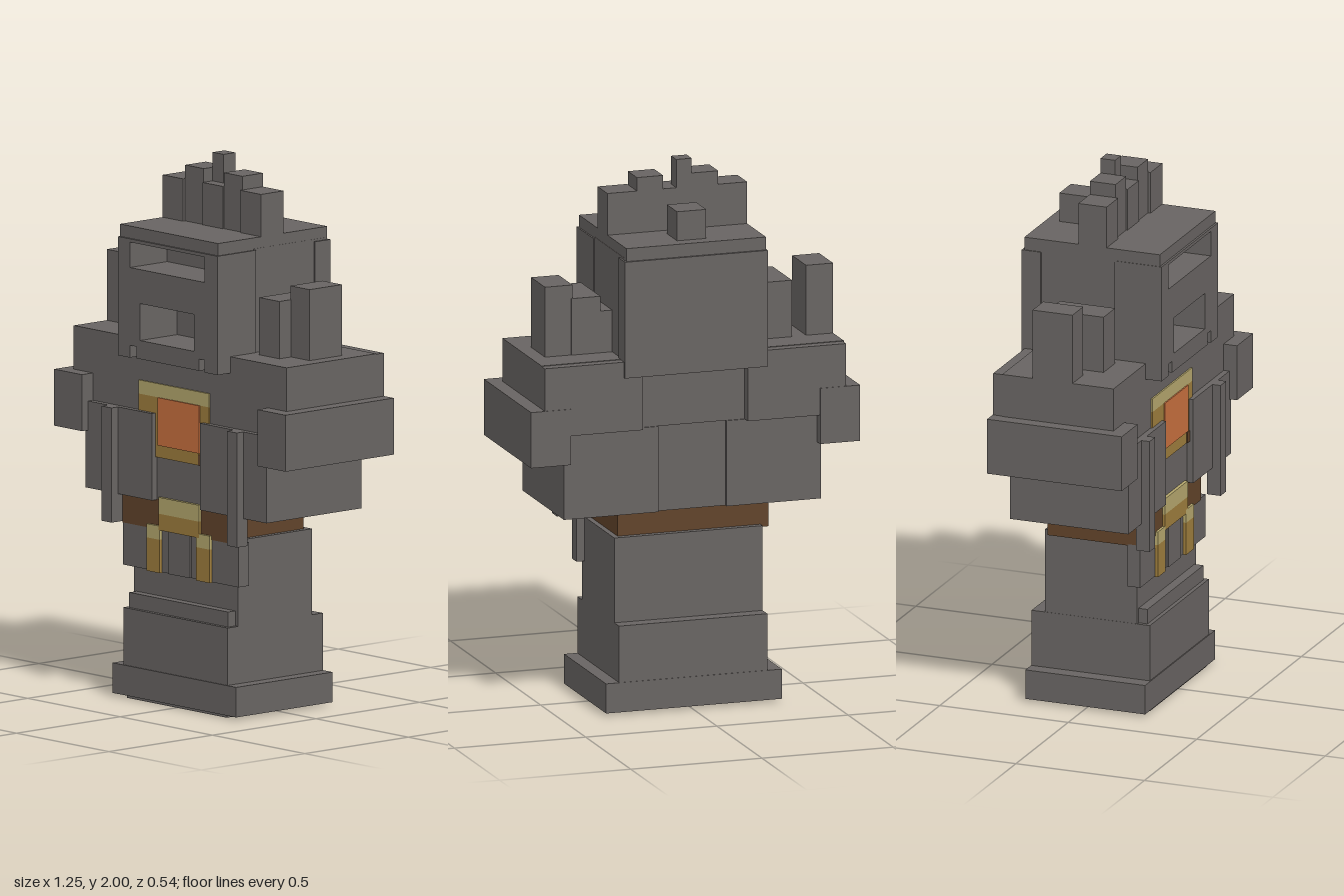
import * as THREE from 'three';

const material = (name, color) => {
  const m = new THREE.MeshStandardMaterial({ color });
  m.name = name;
  return m;
};

export function createModel() {
  const model = new THREE.Group();
  model.name = 'blockyFigure';
  const stone = material('stoneGrey', 0x686462);
  const paleGold = material('paleGold', 0xb5a76d);
  const gold = material('gold', 0x9e7d3d);
  const orange = material('orangeGem', 0xc8703f);
  const brown = material('beltBrown', 0x61432a);

  // Box from its minimum and maximum along each axis
  const box = (name, mat, [x0, x1], [y0, y1], [z0, z1]) => {
    const mesh = new THREE.Mesh(new THREE.BoxGeometry(x1 - x0, y1 - y0, z1 - z0), mat);
    mesh.position.set((x0 + x1) / 2, (y0 + y1) / 2, (z0 + z1) / 2);
    mesh.name = name;
    model.add(mesh);
  };
  // Mirrored pair of boxes
  const pair = (name, mat, [x0, x1], y, z) => {
    box(name + 'Left', mat, [x0, x1], y, z);
    box(name + 'Right', mat, [-x1, -x0], y, z);
  };

  // Base and legs
  box('sole', stone, [-0.27, 0.27], [0, 0.02], [-0.17, 0.225]);
  box('basePlinth', stone, [-0.34, 0.33], [0.01, 0.12], [-0.232, 0.234]);
  box('boots', stone, [-0.285, 0.28], [0.1, 0.33], [-0.23, 0.23]);
  box('bootCuff', stone, [-0.27, 0.265], [0.32, 0.385], [0.1, 0.215]);
  box('legs', stone, [-0.284, 0.28], [0.3, 0.645], [-0.178, 0.18]);

  // Skirt, belt and buckle
  box('skirtFront', stone, [-0.315, 0.31], [0.48, 0.64], [0.155, 0.205]);
  box('skirtTab', stone, [-0.06, 0.055], [0.48, 0.635], [0.15, 0.212]);
  box('belt', brown, [-0.315, 0.26], [0.635, 0.745], [-0.155, 0.208]);
  for (const x of [-0.175, 0.095]) {
    box('skirtTassel', gold, [x, x + 0.072], [0.478, 0.6], [0.15, 0.217]);
    box('tasselTop', paleGold, [x, x + 0.072], [0.6, 0.65], [0.15, 0.217]);
  }
  box('buckleLower', gold, [-0.11, 0.11], [0.635, 0.695], [0.18, 0.217]);
  box('buckleUpper', paleGold, [-0.11, 0.11], [0.695, 0.755], [0.18, 0.217]);

  // Torso, shoulders and arms
  box('torso', stone, [-0.3, 0.3], [0.742, 1.3], [-0.215, 0.205]);
  pair('lowerArm', stone, [0.13, 0.49], [0.742, 1.06], [-0.23, 0.23]);
  box('shoulders', stone, [-0.578, 0.574], [1.06, 1.32], [-0.225, 0.208]);
  pair('shoulderBack', stone, [0.2, 0.574], [1.06, 1.318], [-0.262, -0.2]);
  pair('shoulderPad', stone, [0.475, 0.627], [0.953, 1.16], [-0.264, 0.26]);
  pair('hangingStrap', stone, [0.313, 0.366], [0.64, 1.06], [0.21, 0.262]);

  // Shoulder spikes
  pair('collarBlock', stone, [0.25, 0.312], [1.3, 1.475], [-0.11, 0.045]);
  pair('innerSpike', stone, [0.31, 0.42], [1.3, 1.53], [-0.11, 0.105]);
  box('outerSpikeLeft', stone, [0.415, 0.52], [1.3, 1.58], [-0.107, 0.048]);
  box('outerSpikeRight', stone, [-0.578, -0.475], [1.3, 1.58], [-0.107, 0.048]);

  // Chest emblem, as thin layered plates
  box('emblemFrame', gold, [-0.22, 0.16], [0.9, 1.12], [0.206, 0.214]);
  box('emblemTop', paleGold, [-0.22, 0.16], [1.12, 1.17], [0.206, 0.214]);
  box('emblemGem', orange, [-0.112, 0.112], [0.945, 1.12], [0.212, 0.219]);
  box('emblemChip', brown, [0.105, 0.13], [0.9, 0.94], [0.212, 0.217]);

  // Head, with a face plate pierced by eye and mouth slots
  box('headCore', stone, [-0.265, 0.265], [1.28, 1.7], [-0.25, 0.09]);
  box('headBack', stone, [-0.272, 0.272], [1.26, 1.692], [-0.274, -0.2]);
  box('headLid', stone, [-0.268, 0.264], [1.69, 1.74], [-0.265, 0.262]);
  const face = new THREE.Shape([
    [-0.27, 1.26], [-0.205, 1.26], [-0.205, 1.305], [-0.17, 1.305], [-0.17, 1.262],
    [0.17, 1.262], [0.17, 1.305], [0.2, 1.305], [0.2, 1.26], [0.27, 1.26],
    [0.27, 1.695], [-0.27, 1.695],
  ].map(([x, y]) => new THREE.Vector2(x, y)));
  const slot = (x0, x1, y0, y1) => face.holes.push(new THREE.Path([
    new THREE.Vector2(x0, y0), new THREE.Vector2(x0, y1),
    new THREE.Vector2(x1, y1), new THREE.Vector2(x1, y0),
  ]));
  slot(-0.205, 0.2, 1.59, 1.683);
  slot(-0.15, 0.142, 1.33, 1.465);
  const plate = new THREE.Mesh(
    new THREE.ExtrudeGeometry(face, { depth: 0.185, bevelEnabled: false }), stone);
  plate.position.z = 0.085;
  plate.name = 'facePlate';
  model.add(plate);

  // Crest on top of the head: x range, height, front z
  for (const [x0, x1, top, front] of [
    [-0.268, -0.158, 1.895, 0.055], [-0.158, -0.057, 1.945, 0.045],
    [-0.057, 0.002, 2, 0.002], [-0.057, 0.052, 1.895, 0.05],
    [0.052, 0.152, 1.945, 0.045], [0.152, 0.264, 1.895, 0.055],
  ]) box('crestBlock', stone, [x0, x1], [1.73, top], [-0.055, front]);
  box('rearCrest', stone, [-0.057, 0.054], [1.73, 1.848], [-0.215, -0.103]);

  return model;
}
